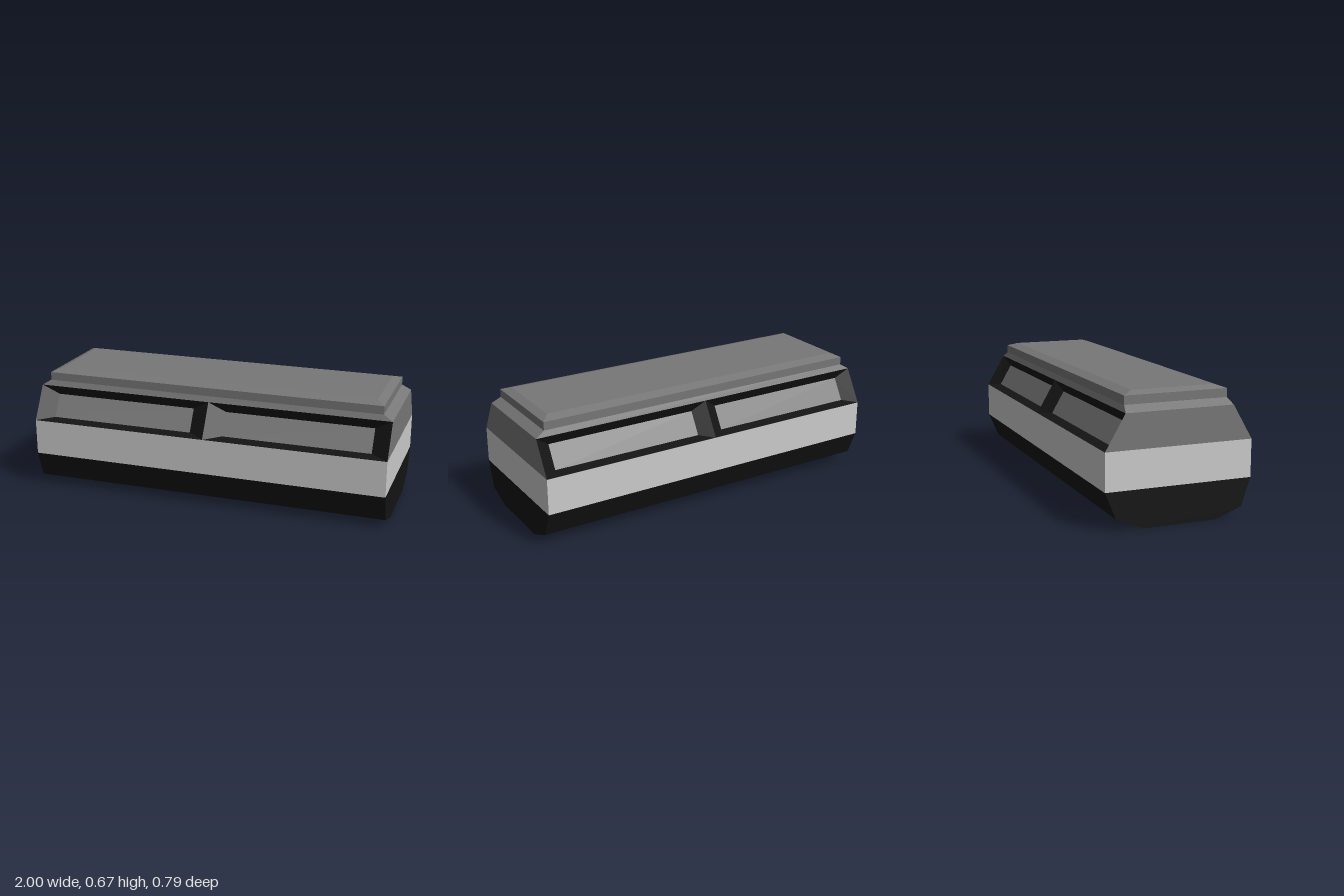
import * as THREE from 'three';

const paint = (color) => new THREE.MeshStandardMaterial({ color, flatShading: true });

// Flat mesh from four-cornered faces, corners counter-clockwise seen from outside
function quadMesh(name, quads, material) {
  const pos = [];
  for (const [a, b, c, d] of quads) pos.push(...a, ...b, ...c, ...a, ...c, ...d);
  const geo = new THREE.BufferGeometry();
  geo.setAttribute('position', new THREE.Float32BufferAttribute(pos, 3));
  geo.computeVertexNormals();
  const mesh = new THREE.Mesh(geo, material);
  mesh.name = name;
  return mesh;
}

// Rectangular ring: height, half length, front depth, back depth, back height
const ring = ([y, hx, zf, zb = zf, yb = y]) =>
  [[hx, y, zf], [hx, yb, -zb], [-hx, yb, -zb], [-hx, y, zf]];

// Walls between two corner loops
const walls = (a, b) => a.map((p, i) => {
  const j = (i + 1) % a.length;
  return [p, a[j], b[j], b[i]];
});

// Stack of rectangular rings, closed at the bottom and/or top
function loft(name, sections, material, { bottom = false, top = false } = {}) {
  const rings = sections.map(ring);
  const quads = [];
  for (let i = 0; i < rings.length - 1; i++) quads.push(...walls(rings[i], rings[i + 1]));
  if (bottom) quads.push([...rings[0]].reverse());
  if (top) quads.push(rings[rings.length - 1]);
  return quadMesh(name, quads, material);
}

export function createModel() {
  const model = new THREE.Group();
  model.name = 'carriageSection';
  const black = paint(0x141414);
  const light = paint(0xcccccc);
  const grey = paint(0x777777);

  // Tapered underbody and upright waist band
  model.add(loft('underbody', [
    [0, 1, 0.197],
    [0.05, 1, 0.343, 0.335, 0.06],
    [0.198, 1, 0.393],
  ], black, { bottom: true }));
  model.add(loft('waistBand', [[0.198, 1, 0.393], [0.395, 1, 0.393]], light));

  // End walls beside the windows
  const low = ring([0.395, 1, 0.393]);
  const high = ring([0.575, 1, 0.288]);
  const sides = walls(low, high);
  model.add(quadMesh('endWalls', [sides[0], sides[2]], grey));

  // Stepped roof with chamfered rim
  model.add(loft('roof', [
    [0.575, 1, 0.288],
    [0.605, 0.95, 0.275],
    [0.65, 0.95, 0.275],
    [0.667, 0.905, 0.22],
  ], grey, { top: true }));

  // Two recessed windows per long side, with bevelled surrounds
  const rect = (x0, x1, y0, z0, y1, z1) =>
    [[x0, y0, z0], [x1, y0, z0], [x1, y1, z1], [x0, y1, z1]];
  function windowSide(name, inner, outer) {
    const side = new THREE.Group();
    side.name = name;
    for (const left of [true, false]) {
      const opening = left ? rect(0, 1, 0.395, 0.393, 0.575, 0.288)
        : rect(-1, 0, 0.395, 0.393, 0.575, 0.288);
      const pane = left ? rect(inner, outer, 0.405, 0.332, 0.522, 0.264)
        : rect(-outer, -inner, 0.405, 0.332, 0.522, 0.264);
      side.add(quadMesh('windowSurround', walls(opening, pane), black));
      side.add(quadMesh('windowPane', [pane], grey));
    }
    return side;
  }
  model.add(windowSide('frontWindows', 0.093, 0.907));
  const back = windowSide('backWindows', 0.075, 0.925);
  back.rotation.y = Math.PI;
  model.add(back);

  return model;
}
